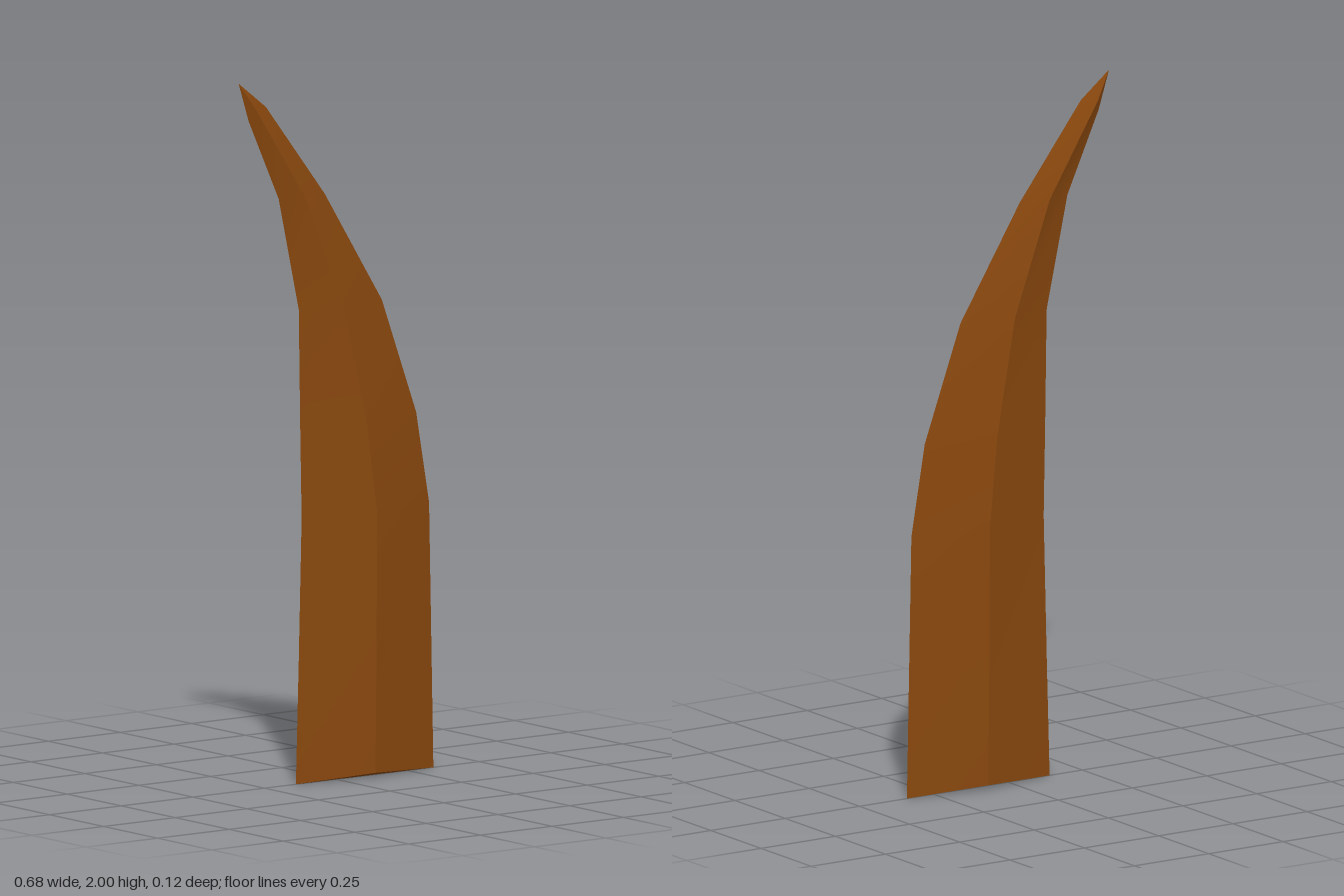
import * as THREE from 'three';
import { toCreasedNormals } from 'three/addons/utils/BufferGeometryUtils.js';

// Diamond sections, root to tip: [inner x, y], [outer x, y], [ridge x, y], half thickness
const SECTIONS = [
  [[-0.14, 0.0], [0.34, 0.0], [0.10, 0.015], 0.05],
  [[-0.13, 0.35], [0.333, 0.35], [0.10, 0.35], 0.055],
  [[-0.12, 0.75], [0.325, 0.75], [0.10, 0.75], 0.058],
  [[-0.125, 1.01], [0.28, 1.01], [0.07, 1.01], 0.05],
  [[-0.13, 1.34], [0.16, 1.34], [0.0, 1.34], 0.035],
  [[-0.20, 1.66], [-0.04, 1.66], [-0.125, 1.66], 0.023],
  [[-0.305, 1.89], [-0.245, 1.925], [-0.29, 1.92], 0.018],
];
const TIP = [-0.34, 2.0, 0];

function bladeGeometry() {
  const positions = [];
  const index = [];
  // Each ring runs inner edge, front ridge, outer edge, back ridge
  for (const [inner, outer, ridge, depth] of SECTIONS) {
    positions.push(...inner, 0, ...ridge, depth, ...outer, 0, ...ridge, -depth);
  }
  positions.push(...TIP);
  const last = SECTIONS.length - 1;
  const tip = SECTIONS.length * 4;
  for (let i = 0; i <= last; i++) {
    for (let j = 0; j < 4; j++) {
      const a = i * 4 + j;
      const b = i * 4 + ((j + 1) % 4);
      if (i < last) index.push(a, b, b + 4, a, b + 4, a + 4);
      else index.push(a, b, tip);
    }
  }
  // Shallow keeled underside
  index.push(0, 2, 1, 0, 3, 2);

  const geometry = new THREE.BufferGeometry();
  geometry.setAttribute('position', new THREE.Float32BufferAttribute(positions, 3));
  geometry.setIndex(index);
  return toCreasedNormals(geometry, THREE.MathUtils.degToRad(20));
}

export function createModel() {
  const group = new THREE.Group();
  group.name = 'curvedHorn';

  const brown = new THREE.MeshStandardMaterial({ color: 0x8a480e });
  brown.name = 'brown';

  const blade = new THREE.Mesh(bladeGeometry(), brown);
  blade.name = 'hornBlade';
  group.add(blade);
  return group;
}
